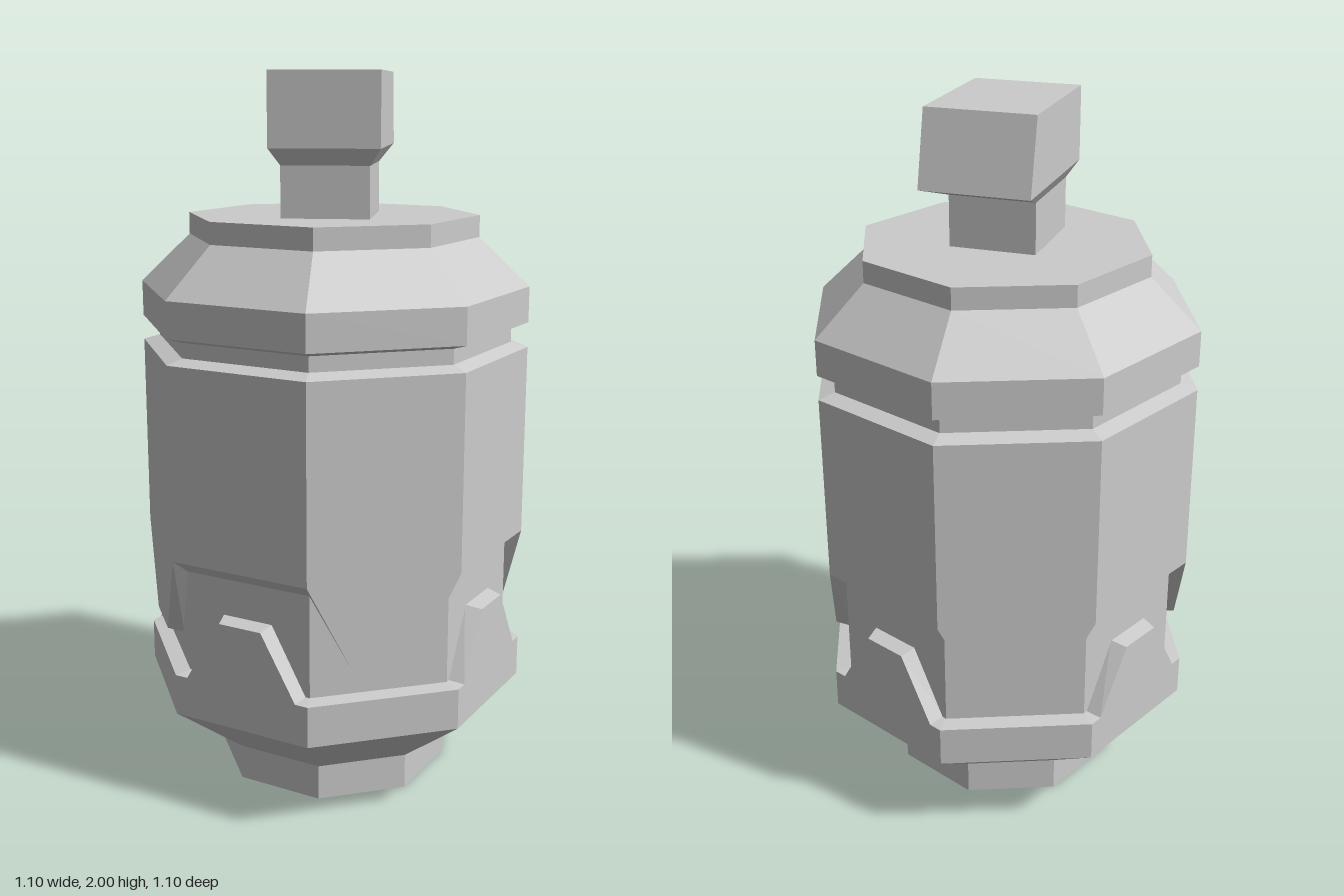
import * as THREE from 'three';

const SIDES = 8;
const R = 0.55;      // outer shell radius
const CORE = 0.503;  // recessed core radius
const INNER = 0.5;   // where the bevels meet the core

const material = new THREE.MeshStandardMaterial({ color: 0xcccccc, flatShading: true });

function mesh(name, geometry) {
  const m = new THREE.Mesh(geometry, material);
  m.name = name;
  return m;
}

// Octagonal turned part from [radius, y] points, bottom to top
function turned(name, profile) {
  const points = profile.map(([r, y]) => new THREE.Vector2(r, y));
  return mesh(name, new THREE.LatheGeometry(points, SIDES));
}

// Quad surface between neighbouring rows of points, rows going up
function loft(name, rows, capTop = false) {
  const pos = [];
  const quad = (a, b, c, d) => [a, b, c, a, c, d].forEach((p) => pos.push(...p));
  for (let i = 0; i < rows.length - 1; i++) {
    const low = rows[i], up = rows[i + 1];
    for (let j = 0; j < low.length; j++) {
      const k = (j + 1) % low.length;
      quad(low[j], low[k], up[k], up[j]);
    }
  }
  if (capTop) quad(...rows[rows.length - 1]);
  const g = new THREE.BufferGeometry();
  g.setAttribute('position', new THREE.Float32BufferAttribute(pos, 3));
  g.computeVertexNormals();
  return mesh(name, g);
}

// Point at fraction t along one side of an octagon of radius r
function onSide(side, t, r, y) {
  const a = (side * Math.PI * 2) / SIDES, b = ((side + 1) * Math.PI * 2) / SIDES;
  return [
    r * THREE.MathUtils.lerp(Math.sin(a), Math.sin(b), t), y,
    r * THREE.MathUtils.lerp(Math.cos(a), Math.cos(b), t),
  ];
}

// Closed row round the octagon: teeth [t, y] on every second side
function toothedRow(teeth, parity, r, baseY, flatY) {
  const row = [];
  for (let s = 0; s < SIDES; s++) {
    row.push(onSide(s, 0, r, baseY));
    if (s % 2 === parity) {
      teeth.forEach(([t, y]) => row.push(onSide(s, t, r, flatY ?? y)));
    }
  }
  return row;
}

// Rectangular section for the nozzle
const section = (y, halfX, back, front) => [
  [-halfX, y, front], [halfX, y, front], [halfX, y, back], [-halfX, y, back],
];

export function createModel() {
  const group = new THREE.Group();

  // Foot and lower bowl
  group.add(turned('base', [[0, 0], [0.335, 0], [0.335, 0.1], [R, 0.265]]));

  // Recessed core seen between the teeth and in the neck groove
  group.add(turned('core', [[CORE, 0.3], [CORE, 1.32]]));

  // Lower collar with teeth pointing up
  const lowOuter = [[0.09, 0.38], [0.35, 0.56], [0.66, 0.56], [0.91, 0.38]];
  const lowInner = [[0.03, 0.386], [0.3, 0.57], [0.7, 0.57], [0.97, 0.386]];
  group.add(loft('lowerCollar', [
    toothedRow(lowOuter, 1, R, 0.265, 0.265),
    toothedRow(lowOuter, 1, R, 0.38),
    toothedRow(lowInner, 1, INNER, 0.386),
  ]));

  // Body shell with teeth pointing down
  const upOuter = [[0.29, 0.47], [0.7, 0.47]];
  const upInner = [[0.33, 0.455], [0.73, 0.455]];
  group.add(loft('bodyShell', [
    toothedRow(upInner, 0, INNER, 0.67),
    toothedRow(upOuter, 0, R, 0.71),
    toothedRow(upOuter, 0, R, 1.25, 1.25),
    toothedRow(upOuter, 0, INNER, 1.265, 1.265),
  ]));

  // Sloped cap above the groove
  group.add(turned('cap', [
    [INNER, 1.305], [R, 1.32], [R, 1.42], [0.408, 1.555], [0.408, 1.615], [0, 1.615],
  ]));

  // Nozzle: stem flaring into a head that overhangs the back
  group.add(loft('nozzle', [
    section(1.61, 0.12, -0.1, 0.17),
    section(1.755, 0.12, -0.1, 0.17),
    section(1.8, 0.15, -0.24, 0.195),
    section(2, 0.15, -0.19, 0.195),
  ], true));

  return group;
}
